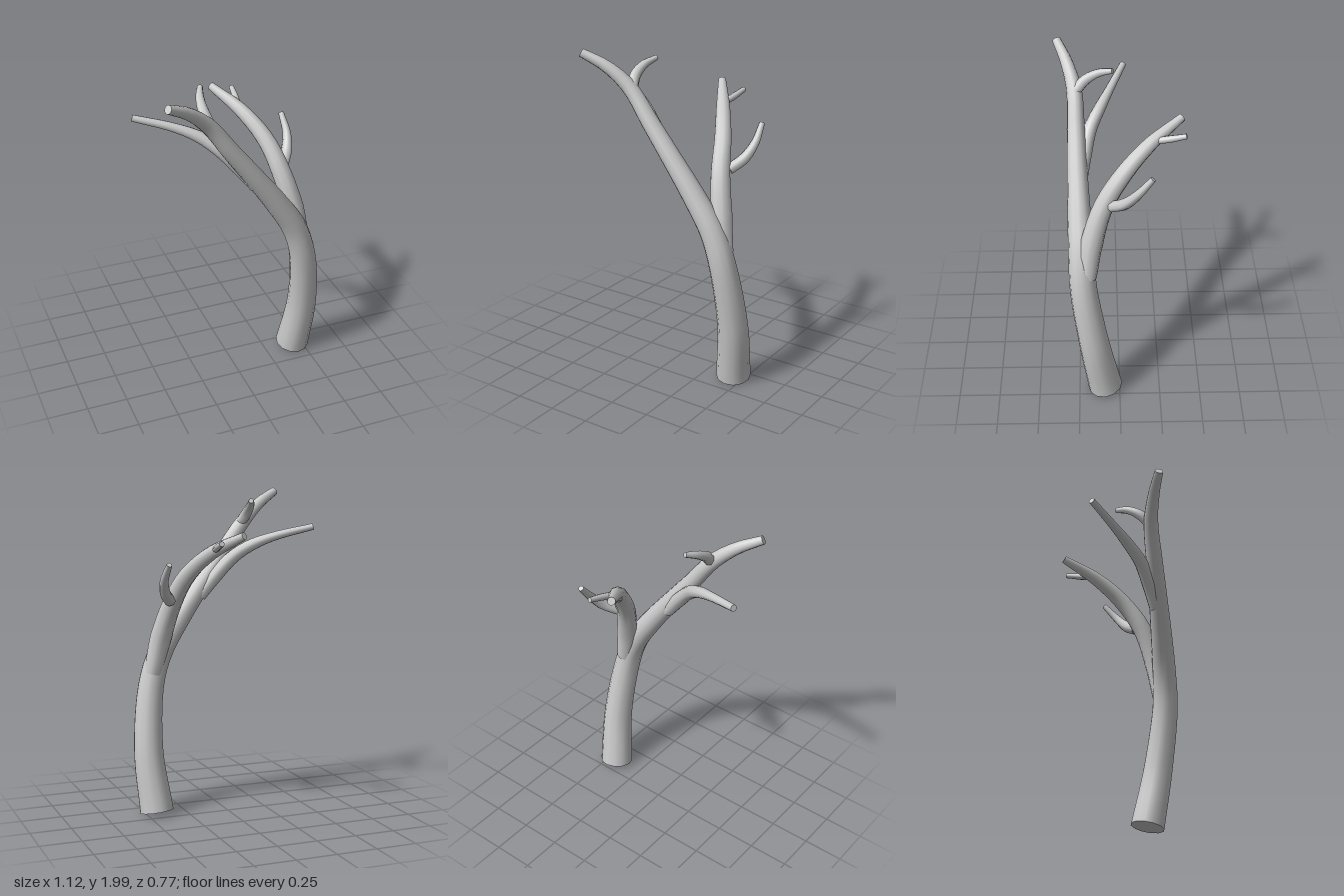
import * as THREE from 'three';
import { mergeGeometries } from 'three/addons/utils/BufferGeometryUtils.js';

// Each limb: centre line points as [x, y, z, radius]
const limbs = {
  trunk: [
    [0.437, 0.03, 0.09, 0.106], [0.465, 0.4, 0.155, 0.092], [0.425, 0.8, 0.215, 0.081],
    [0.36, 1.0, 0.225, 0.076], [0.235, 1.2, 0.234, 0.069], [0.09, 1.4, 0.242, 0.06],
    [-0.06, 1.6, 0.248, 0.053], [-0.2, 1.79, 0.256, 0.046], [-0.33, 1.905, 0.3, 0.036],
    [-0.465, 1.98, 0.36, 0.026]],
  leftBranch: [
    [0.42, 0.88, 0.19, 0.055], [0.378, 1.1, 0.16, 0.066], [0.325, 1.32, 0.09, 0.058],
    [0.27, 1.49, -0.02, 0.052], [0.175, 1.63, -0.17, 0.043], [0.045, 1.738, -0.365, 0.024]],
  rightBranch: [
    [0.1, 1.34, 0.225, 0.04], [0.0, 1.47, 0.2, 0.045], [-0.1, 1.58, 0.165, 0.041],
    [-0.2, 1.655, 0.11, 0.036], [-0.33, 1.71, 0.05, 0.027], [-0.552, 1.769, -0.038, 0.02]],
  upperTwig: [
    [-0.185, 1.79, 0.245, 0.033], [-0.203, 1.85, 0.19, 0.033], [-0.195, 1.9, 0.11, 0.025],
    [-0.165, 1.928, 0.03, 0.016]],
  leftTwig: [
    [0.355, 1.335, 0.045, 0.034], [0.41, 1.39, -0.03, 0.034], [0.44, 1.47, -0.1, 0.026],
    [0.437, 1.572, -0.185, 0.017]],
  tipTwig: [
    [0.16, 1.65, -0.2, 0.02], [0.178, 1.673, -0.29, 0.021], [0.19, 1.697, -0.384, 0.016]],
};

// Flat fan closing one ring of the tube
function cap(ring, centre, flip) {
  const pos = [];
  for (let j = 0; j < ring.length - 1; j++) {
    const [a, b] = flip ? [ring[j + 1], ring[j]] : [ring[j], ring[j + 1]];
    pos.push(...centre.toArray(), ...a.toArray(), ...b.toArray());
  }
  const g = new THREE.BufferGeometry();
  g.setAttribute('position', new THREE.Float32BufferAttribute(pos, 3));
  g.computeVertexNormals();
  return g;
}

// Tube whose radius follows the listed values, closed at both ends
function limbGeometry(points, sides) {
  const curve = new THREE.CatmullRomCurve3(points.map(p => new THREE.Vector3(...p)));
  const segments = (points.length - 1) * 4;
  const tube = new THREE.TubeGeometry(curve, segments, 1, sides);
  const pos = tube.attributes.position;
  const v = new THREE.Vector3();
  const rings = [], centres = [];
  for (let i = 0; i <= segments; i++) {
    const u = i / segments;
    const c = curve.getPointAt(u);
    const t = curve.getUtoTmapping(u) * (points.length - 1);
    const k = Math.min(Math.floor(t), points.length - 2);
    const r = THREE.MathUtils.lerp(points[k][3], points[k + 1][3], t - k);
    const ring = [];
    for (let j = 0; j <= sides; j++) {
      const n = i * (sides + 1) + j;
      v.fromBufferAttribute(pos, n).sub(c).multiplyScalar(r).add(c);
      pos.setXYZ(n, v.x, v.y, v.z);
      ring.push(v.clone());
    }
    rings.push(ring);
    centres.push(c);
  }
  const side = tube.toNonIndexed();
  side.deleteAttribute('uv');

  // Pick the winding that makes each cap face outwards
  const closed = [0, segments].map(i => {
    const out = curve.getTangentAt(i / segments).multiplyScalar(i ? 1 : -1);
    const [a, b] = rings[i];
    const face = a.clone().sub(centres[i]).cross(b.clone().sub(centres[i]));
    return cap(rings[i], centres[i], face.dot(out) < 0);
  });
  return mergeGeometries([side, ...closed]);
}

export function createModel() {
  const group = new THREE.Group();
  group.name = 'bareTree';
  const bark = new THREE.MeshStandardMaterial({ color: 0xcccccc });
  for (const [name, points] of Object.entries(limbs)) {
    const sides = name === 'trunk' ? 12 : name.endsWith('Branch') ? 10 : 8;
    const mesh = new THREE.Mesh(limbGeometry(points, sides), bark);
    mesh.name = name;
    group.add(mesh);
  }
  return group;
}
